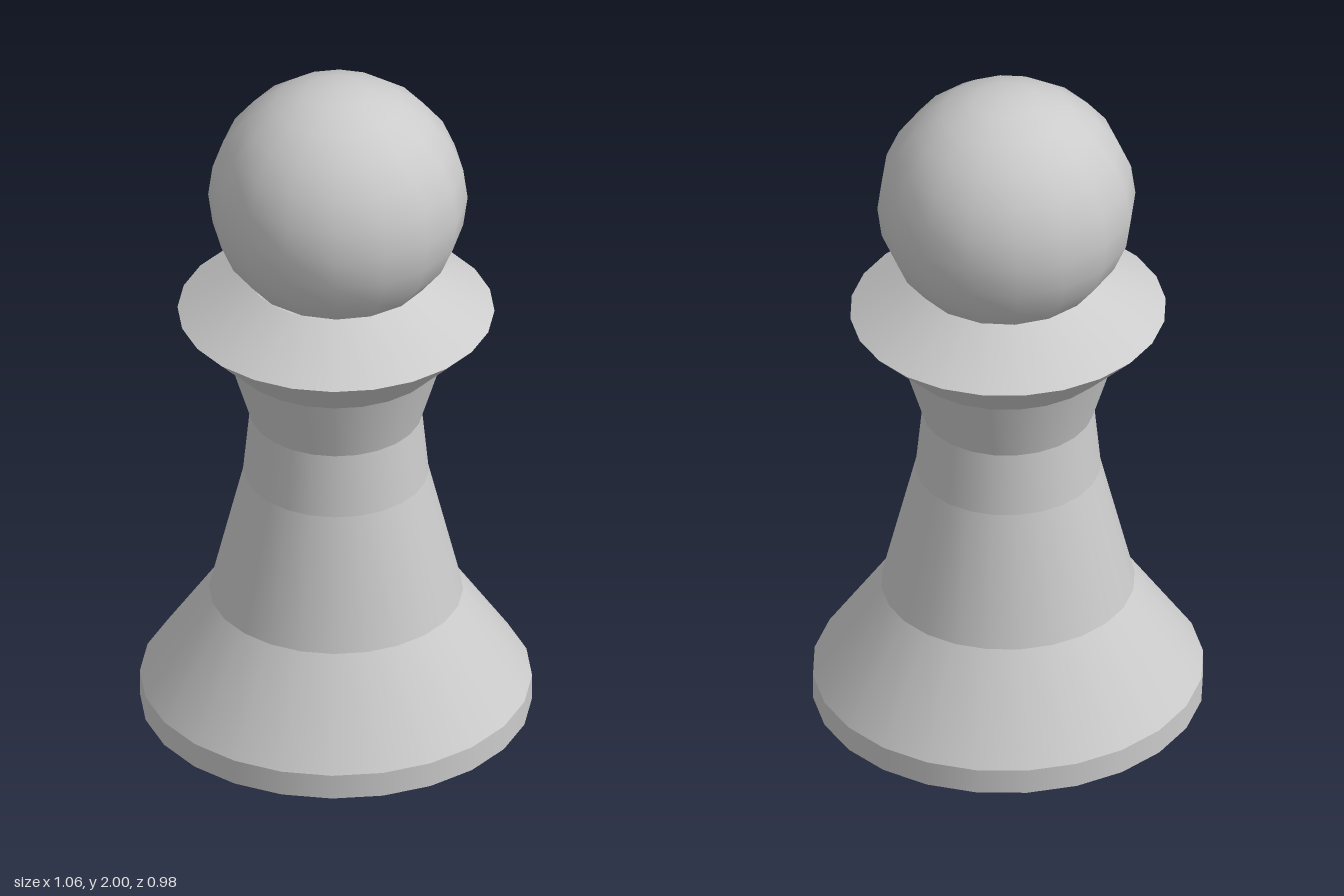
import * as THREE from 'three';
import { mergeGeometries } from 'three/addons/utils/BufferGeometryUtils.js';

export function createModel() {
  const group = new THREE.Group();
  group.name = 'chessPawn';
  const material = new THREE.MeshStandardMaterial({ color: 0xcccccc });
  const depth = 0.92; // the piece is slightly narrower front to back

  // Turned part: each band is its own lathe, smooth around but crisp between bands
  function turned(name, profile) {
    const bands = [];
    for (let i = 0; i < profile.length - 1; i++) {
      const points = [profile[i], profile[i + 1]].map(([r, y]) => new THREE.Vector2(r, y));
      bands.push(new THREE.LatheGeometry(points, 24));
    }
    const mesh = new THREE.Mesh(mergeGeometries(bands), material);
    mesh.name = name;
    mesh.scale.z = depth;
    group.add(mesh);
  }

  // Foot with closed underside, flaring up into the stem
  turned('base', [[0, 0], [0.532, 0], [0.532, 0.075], [0.345, 0.358]]);

  // Tapering stem with a narrow waist
  turned('stem', [[0.345, 0.358], [0.252, 0.75], [0.234, 0.94], [0.293, 1.136]]);

  // Sharp-edged collar with closed top
  turned('collar', [[0.293, 1.136], [0.43, 1.278], [0.238, 1.394], [0, 1.394]]);

  // Round head
  const head = new THREE.Mesh(new THREE.SphereGeometry(0.352, 16, 12), material);
  head.name = 'head';
  head.scale.z = depth;
  head.position.set(0.005, 1.648, -0.005);
  group.add(head);

  return group;
}
